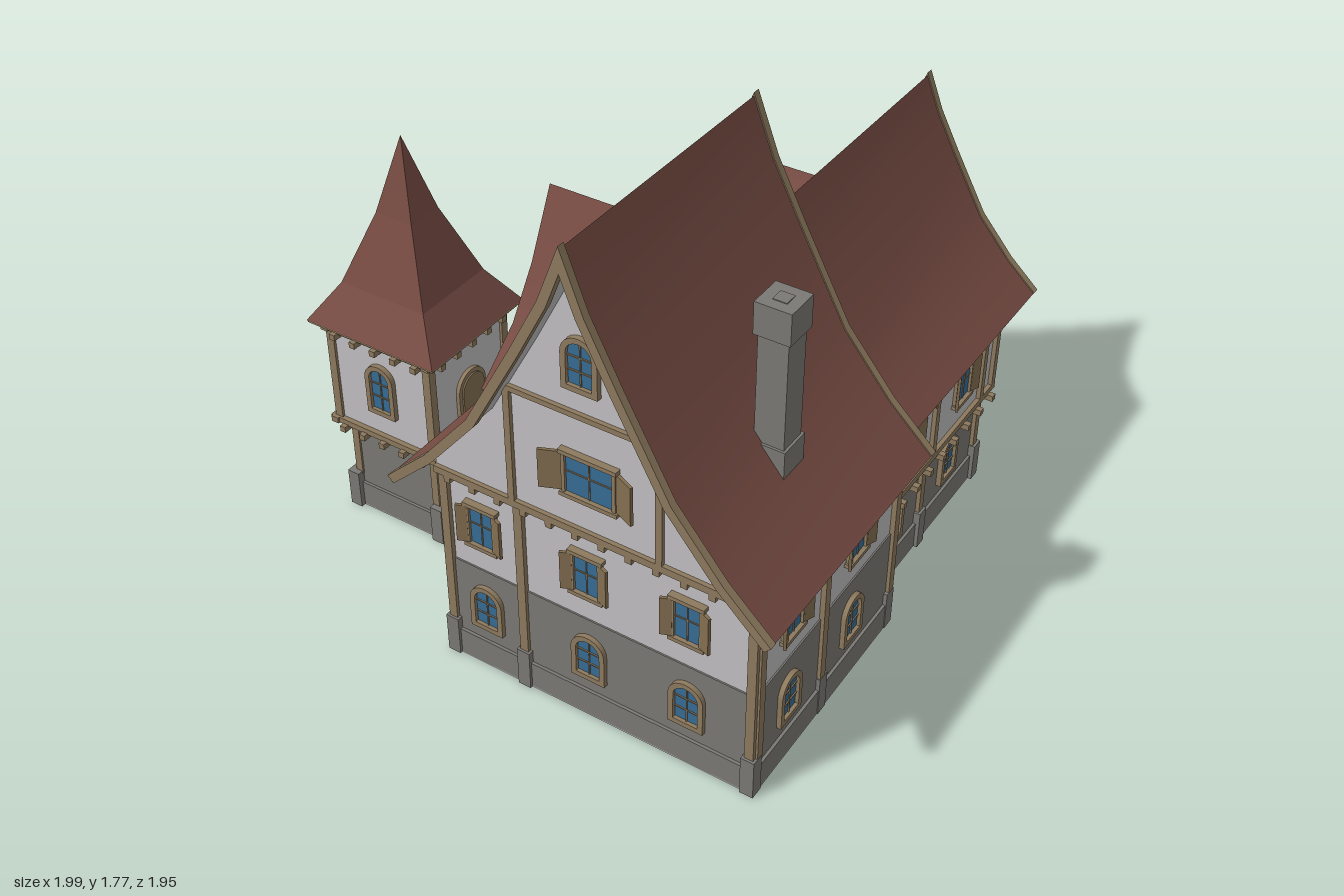
import * as THREE from 'three';
import { toCreasedNormals } from 'three/addons/utils/BufferGeometryUtils.js';

const mat = (name, color) => {
  const m = new THREE.MeshStandardMaterial({ color });
  m.name = name;
  return m;
};
const plaster = mat('plaster', 0xc1bfc1), stone = mat('stone', 0x7b7974), roofTile = mat('roofTile', 0x774c43);
const timber = mat('timber', 0x8d7a5e), wood = mat('shutterWood', 0x826e50), glass = mat('glass', 0x376c95);

function add(parent, name, geo, material, x = 0, y = 0, z = 0) {
  const m = new THREE.Mesh(geo, material);
  m.name = name;
  m.position.set(x, y, z);
  parent.add(m);
  return m;
}
function group(parent, name) {
  const g = new THREE.Group();
  g.name = name;
  parent.add(g);
  return g;
}
// Box given by its limits on each axis
function span(parent, name, material, x0, x1, y0, y1, z0, z1) {
  return add(parent, name, new THREE.BoxGeometry(x1 - x0, y1 - y0, z1 - z0), material,
    (x0 + x1) / 2, (y0 + y1) / 2, (z0 + z1) / 2);
}
// Facade frame: local x runs along the wall, local z points outward
function facade(parent, name, angle, dist) {
  const g = group(parent, name);
  g.rotation.y = angle;
  g.position.set(Math.sin(angle) * dist, 0, Math.cos(angle) * dist);
  return g;
}
const FRONT = 0, RIGHT = Math.PI / 2, BACK = Math.PI, LEFT = -Math.PI / 2;

// Timber laid on a facade between two points
function beam(w, x1, y1, x2, y2, width = 0.03, out = 0.014) {
  const m = add(w, 'timberBeam', new THREE.BoxGeometry(Math.hypot(x2 - x1, y2 - y1), width, out + 0.01), timber,
    (x1 + x2) / 2, (y1 + y2) / 2, out / 2 - 0.005);
  m.rotation.z = Math.atan2(y2 - y1, x2 - x1);
}
function joists(w, x0, x1, y, n) {
  for (let i = 0; i < n; i++)
    add(w, 'joistEnd', new THREE.BoxGeometry(0.022, 0.022, 0.05), timber, x0 + (x1 - x0) * (i + 0.5) / n, y, 0.01);
}
function archShape(w, h) {
  const s = new THREE.Shape();
  s.moveTo(-w / 2, 0);
  s.lineTo(w / 2, 0);
  s.lineTo(w / 2, h - w / 2);
  s.absarc(0, h - w / 2, w / 2, 0, Math.PI, false);
  s.lineTo(-w / 2, 0);
  return s;
}
const extrude = (shape, depth) =>
  new THREE.ExtrudeGeometry(shape, { depth, bevelEnabled: false, curveSegments: 8 });

function archWindow(w, x, y, width = 0.12, h = 0.175) {
  const g = group(w, 'archedWindow');
  g.position.set(x, y, 0);
  const ring = archShape(width, h);
  const hole = archShape(width - 0.036, h - 0.036).getPoints(8).map(p => p.setY(p.y + 0.018));
  ring.holes.push(new THREE.Path(hole));
  add(g, 'windowFrame', extrude(ring, 0.018), timber);
  add(g, 'windowGlass', extrude(archShape(width - 0.03, h - 0.03), 0.006), glass, 0, 0.015, 0);
  add(g, 'mullion', new THREE.BoxGeometry(0.004, h - 0.03, 0.004), timber, 0, h / 2, 0.008);
  for (const k of [0.36, 0.62])
    add(g, 'glazingBar', new THREE.BoxGeometry(width - 0.03, 0.004, 0.004), timber, 0, h * k, 0.008);
}
function shutterWindow(w, x, y, width = 0.096, h = 0.155, leaf = 0.036) {
  const g = group(w, 'shutterWindow');
  g.position.set(x, y, 0);
  add(g, 'windowGlass', new THREE.BoxGeometry(width, h, 0.008), glass, 0, h / 2, 0.004);
  for (const s of [-1, 1]) {
    add(g, 'jamb', new THREE.BoxGeometry(0.012, h, 0.018), timber, s * width / 2, h / 2, 0.008);
    add(g, 'lintelAndSill', new THREE.BoxGeometry(width + 0.025, 0.014, 0.024), timber, 0, s < 0 ? 0 : h, 0.01);
    const sh = add(g, 'shutter', new THREE.BoxGeometry(leaf, h - 0.015, 0.01), wood,
      s * (width / 2 + leaf / 2), h / 2, 0.02);
    sh.rotation.y = -s * 0.4;
  }
  add(g, 'mullion', new THREE.BoxGeometry(0.004, h, 0.004), timber, 0, h / 2, 0.009);
  add(g, 'glazingBar', new THREE.BoxGeometry(width, 0.004, 0.004), timber, 0, h * 0.55, 0.009);
}
function door(w, x, y, width, h) {
  add(w, 'doorFrame', extrude(archShape(width + 0.03, h + 0.015), 0.014), timber, x, y, 0);
  add(w, 'doorLeaf', extrude(archShape(width, h), 0.02), wood, x, y, 0);
}

// Curved gable roof: profile is a list of [distance from ridge, height];
// band() gives the strip between two offsets square to that line
function band(profile, top, bottom) {
  const line = [...profile].reverse().map(([x, y]) => [-x, y]).concat(profile.slice(1))
    .map(([x, y]) => new THREE.Vector2(x, y));
  const normals = line.slice(1).map((p, i) => {
    const d = p.clone().sub(line[i]).normalize();
    return new THREE.Vector2(-d.y, d.x);
  });
  const offset = t => line.map((p, i) => {
    const a = normals[Math.max(i - 1, 0)], b = normals[Math.min(i, normals.length - 1)];
    return a.clone().add(b).multiplyScalar(t / (1 + a.dot(b))).add(p);
  });
  return new THREE.Shape(offset(top).concat(offset(bottom).reverse()));
}
const curved = (shape, depth) => toCreasedNormals(extrude(shape, depth), 0.5);
function heightAt(profile, d) {
  for (let i = 1; i < profile.length; i++) {
    const [a, ya] = profile[i - 1], [b, yb] = profile[i];
    if (d <= b) return ya + (yb - ya) * (d - a) / (b - a);
  }
  return profile[profile.length - 1][1];
}
function gableShape(profile, half, base, drop) {
  const side = profile.filter(([x]) => x < half).concat([[half, heightAt(profile, half)]])
    .map(([x, y]) => [x, Math.max(y - drop, base + 0.001)]);
  const pts = [[-half, base], [half, base], ...[...side].reverse(), ...side.slice(1).map(([x, y]) => [-x, y])];
  return new THREE.Shape(pts.map(p => new THREE.Vector2(...p)));
}
function gableRoof(parent, cx, profile, z0, z1, barges) {
  const g = group(parent, 'gableRoof');
  g.position.x = cx;
  add(g, 'roofTiles', curved(band(profile, 0, -0.015), z1 - z0), roofTile, 0, 0, z0);
  add(g, 'roofSoffit', curved(band(profile, -0.015, -0.02), z1 - z0), plaster, 0, 0, z0);
  for (const z of barges) add(g, 'bargeBoard', curved(band(profile, 0.004, -0.026), 0.026), timber, 0, 0, z - 0.013);
}
function dormer(parent, zc, xIn, xOut, profile, winY, winH) {
  const g = group(parent, 'dormer');
  g.position.set(xIn, 0, zc);
  g.rotation.y = LEFT;
  const d = xIn - xOut, base = profile[profile.length - 1][1];
  add(g, 'dormerRoof', curved(band(profile, 0, -0.009), d), roofTile);
  add(g, 'dormerSoffit', curved(band(profile, -0.009, -0.014), d - 0.003), plaster);
  add(g, 'dormerGable', extrude(gableShape(profile, profile[3][0] - 0.05, base - 0.04, 0.015), d - 0.06), plaster);
  const w = group(g, 'dormerFace');
  w.position.z = d - 0.06;
  archWindow(w, 0, winY, 0.1, winH);
}
// Stone base with plinth and buttress blocks
function stoneBase(parent, x0, x1, z0, z1, top, blocks) {
  const g = group(parent, 'stoneStorey');
  span(g, 'groundSlab', plaster, x0 - 0.01, x1 + 0.01, 0, 0.004, z0 - 0.01, z1 + 0.01);
  span(g, 'stoneWall', stone, x0, x1, 0.004, top, z0, z1);
  span(g, 'plinth', stone, x0 - 0.01, x1 + 0.01, 0.004, 0.1, z0 - 0.01, z1 + 0.01);
  for (const [x, z] of blocks) add(g, 'plinthBlock', new THREE.BoxGeometry(0.046, 0.145, 0.046), stone, x, 0.0735, z);
}

const mainProfile = [[0, 1.762], [0.07, 1.58], [0.17, 1.385], [0.335, 1.08], [0.5, 0.88], [0.65, 0.737]];
const wingProfile = mainProfile.map(([x, y]) => [x * 0.705, 0.737 + (y - 0.737) * 0.675]);

function mainHouse(root) {
  const g = group(root, 'mainHouse');
  stoneBase(g, -0.195, 0.895, 0, 0.855, 0.39,
    [-0.19, 0.085, 0.885].map(x => [x, 0.852]).concat([[0.885, 0.46], [0.885, 0.02], [-0.19, 0.02]]));
  span(g, 'upperWalls', plaster, -0.19, 0.89, 0.39, 0.76, 0.002, 0.85);
  add(g, 'gableWalls', extrude(gableShape(mainProfile, 0.545, 0.752, 0.03), 0.872), plaster, 0.345, 0, 0.004);
  gableRoof(g, 0.345, mainProfile, 0, 0.965, [0.96, 0.005]);
  dormer(g, 0.48, 0.29, -0.04, [[0, 1.58], [0.1, 1.37], [0.2, 1.22], [0.36, 1.085]], 1.2, 0.17);

  const f = facade(g, 'frontFacade', FRONT, 0.853);
  for (const x of [-0.19, 0.085, 0.885]) beam(f, x, 0.14, x, 0.74);
  for (const x of [-0.055, 0.325, 0.67]) {
    archWindow(f, x, 0.155);
    shutterWindow(f, x, 0.495);
  }
  joists(f, -0.2, 0.9, 0.733, 12);
  const t = facade(g, 'frontGable', FRONT, 0.876);
  beam(t, -0.2, 0.757, 0.9, 0.757, 0.025);
  beam(t, 0.07, 1.175, 0.62, 1.175, 0.018);
  for (const x of [0.085, 0.59]) beam(t, x, 0.76, x, 1.17, 0.022);
  shutterWindow(t, 0.36, 0.885, 0.17, 0.15, 0.075);
  archWindow(t, 0.34, 1.26, 0.12, 0.18);

  const r = facade(g, 'rightFacade', RIGHT, 0.893);
  const l = facade(g, 'leftFacade', LEFT, 0.193);
  for (const [w, s] of [[r, -1], [l, 1]]) {
    for (const z of [0.838, 0.465, 0.015]) beam(w, s * z, 0.14, s * z, 0.75);
    beam(w, s * 0.01, 0.74, s * 0.85, 0.74, 0.02);
    shutterWindow(w, s * 0.665, 0.495);
    archWindow(w, s * 0.665, 0.155);
  }
  shutterWindow(r, -0.28, 0.495);
  archWindow(r, -0.28, 0.155);
  door(l, 0.31, 0.395, 0.11, 0.22);

  // Chimney with a raised flue
  const c = group(g, 'chimney');
  c.position.set(0.738, 0, 0.512);
  add(c, 'chimneyBase', new THREE.BoxGeometry(0.112, 0.25, 0.112), stone, 0, 0.91, 0);
  add(c, 'chimneyShaft', new THREE.BoxGeometry(0.096, 0.4, 0.096), stone, 0, 1.22, 0);
  add(c, 'chimneyCap', new THREE.BoxGeometry(0.116, 0.105, 0.116), stone, 0, 1.449, 0);
  add(c, 'flue', new THREE.BoxGeometry(0.045, 0.004, 0.045), stone, 0, 1.502, 0);
}

function backWing(root) {
  const g = group(root, 'backWing');
  const cx = 0.443;
  stoneBase(g, 0.08, 0.8, -0.822, 0.05, 0.39,
    [[0.08, -0.812], [cx, -0.815], [0.8, -0.812], [0.8, -0.385], [0.08, -0.385]]);
  span(g, 'upperWalls', plaster, 0.055, 0.825, 0.38, 0.76, -0.855, 0.05);
  add(g, 'gableWall', extrude(gableShape(wingProfile, 0.385, 0.74, 0.03), 0.9), plaster, cx, 0, -0.862);
  gableRoof(g, cx, wingProfile, -0.965, 0.02, [-0.962]);
  dormer(g, -0.43, 0.39, 0.13, [[0, 1.27], [0.085, 1.13], [0.17, 1.03], [0.31, 0.925]], 1.0, 0.15);

  const r = facade(g, 'rightFacade', RIGHT, 0.826);
  const l = facade(g, 'leftFacade', LEFT, -0.054);
  const rl = facade(g, 'rightStoneFacade', RIGHT, 0.8);
  const ll = facade(g, 'leftStoneFacade', LEFT, -0.08);
  for (const [w, low, s] of [[r, rl, -1], [l, ll, 1]]) {
    beam(w, 0, 0.387, s * -0.86, 0.387, 0.024);
    beam(w, 0, 0.735, s * -0.86, 0.735, 0.02);
    joists(w, 0, s * -0.86, 0.366, 9);
    for (const z of [-0.385, -0.75, -0.845]) beam(w, s * z, 0.385, s * z, 0.735, 0.026);
    for (const k of [-1, 1]) beam(w, s * -0.385, 0.6, s * (-0.385 + k * 0.11), 0.73, 0.024, 0.012);
    for (const z of [-0.18, -0.585]) shutterWindow(w, s * z, 0.495);
    archWindow(low, s * -0.585, 0.15);
    for (const z of [-0.385, -0.808]) beam(low, s * z, 0.14, s * z, 0.37);
  }
  archWindow(rl, 0.18, 0.15);
  door(ll, -0.18, 0.12, 0.1, 0.2);

  const b = facade(g, 'backFacade', BACK, 0.856);
  const bl = facade(g, 'backStoneFacade', BACK, 0.822);
  beam(b, -0.83, 0.387, -0.05, 0.387, 0.024);
  joists(b, -0.82, -0.06, 0.366, 8);
  joists(b, -0.82, -0.06, 0.72, 8);
  for (const x of [0.07, cx, 0.81]) beam(b, -x, 0.385, -x, 0.735, 0.026);
  for (const k of [-1, 1]) {
    beam(b, -cx, 0.6, -cx + k * 0.11, 0.73, 0.024, 0.012);
    shutterWindow(b, -cx + k * 0.2, 0.495);
    archWindow(bl, -cx + k * 0.2, 0.15);
  }
  for (const x of [0.1, cx, 0.78]) beam(bl, -x, 0.14, -x, 0.37);
  const t = facade(g, 'backGable', BACK, 0.862);
  beam(t, -0.83, 0.745, -0.05, 0.745, 0.025);
  archWindow(t, -cx, 0.88, 0.12, 0.18);

  // Porch with steps
  const p = group(g, 'porch');
  span(p, 'porchFloor', stone, -0.06, 0.08, 0, 0.12, -0.32, -0.05);
  for (let i = 0; i < 5; i++)
    span(p, 'step', stone, -0.2 + i * 0.028, -0.06, i * 0.024, (i + 1) * 0.024, -0.32, -0.05);
  for (const z of [-0.31, -0.06]) {
    span(p, 'porchPost', timber, -0.05, -0.03, 0.12, 0.33, z - 0.01, z + 0.01);
    span(p, 'porchRail', timber, -0.04, 0.08, 0.2, 0.215, z - 0.007, z + 0.007);
    for (const x of [-0.01, 0.02, 0.05]) span(p, 'baluster', timber, x - 0.004, x + 0.004, 0.12, 0.2, z - 0.004, z + 0.004);
  }
  span(p, 'porchBeam', timber, -0.05, -0.03, 0.315, 0.333, -0.32, -0.05);
  const slope = [[-0.06, 0.325], [0.01, 0.357], [0.09, 0.43], [0.09, 0.405], [0.01, 0.337], [-0.06, 0.31]];
  add(p, 'porchRoof', extrude(new THREE.Shape(slope.map(q => new THREE.Vector2(...q))), 0.32), roofTile, 0, 0, -0.34);
}

function tower(root) {
  const g = group(root, 'tower');
  g.position.set(-0.735, 0, 0.31);
  const corners = [[-1, -1], [-1, 1], [1, -1], [1, 1]];
  stoneBase(g, -0.175, 0.175, -0.165, 0.165, 0.385, corners.map(([a, b]) => [a * 0.18, b * 0.17]));
  span(g, 'passageWall', plaster, 0.18, 0.188, 0.004, 0.37, -0.147, 0.147);
  span(g, 'upperWalls', plaster, -0.205, 0.205, 0.37, 0.775, -0.195, 0.195);
  for (const [a, b] of corners) {
    add(g, 'cornerPost', new THREE.BoxGeometry(0.03, 0.4, 0.03), timber, a * 0.2, 0.57, b * 0.19);
    add(g, 'lowerCornerPost', new THREE.BoxGeometry(0.028, 0.25, 0.028), timber, a * 0.168, 0.26, b * 0.158);
  }
  for (const [name, angle, d, half] of [['front', FRONT, 0.195, 0.21], ['back', BACK, 0.195, 0.21],
    ['left', RIGHT, 0.205, 0.2], ['right', LEFT, 0.205, 0.2]]) {
    const w = facade(g, name + 'TowerFacade', angle, d);
    for (const y of [0.382, 0.762]) {
      beam(w, -half - 0.02, y, half + 0.02, y, 0.022, 0.018);
      joists(w, -half, half, y - 0.018, 5);
    }
    if (angle === RIGHT) door(w, 0, 0.395, 0.11, 0.22);
    else archWindow(w, 0, 0.48, 0.115, 0.2);
  }
  // Flared four-sided spire
  const pts = [[0.26, 0.785], [0.168, 0.92], [0.072, 1.17], [0.0001, 1.44]]
    .map(([x, y]) => new THREE.Vector2(x * Math.SQRT2, y));
  const spire = new THREE.LatheGeometry(pts, 4, Math.PI / 4).toNonIndexed();
  spire.scale(1, 1, 0.925);
  spire.computeVertexNormals();
  add(g, 'spire', spire, roofTile);
  span(g, 'spireSoffit', timber, -0.258, 0.258, 0.777, 0.787, -0.238, 0.238);
}

function bridge(root) {
  const g = group(root, 'bridge');
  const cx = -0.363, cy = 0.235, ri = 0.098, ro = 0.14;
  const s = new THREE.Shape();
  s.moveTo(ro, 0);
  s.lineTo(ro, cy);
  s.absarc(0, cy, ro, 0, Math.PI, false);
  s.lineTo(-ro, 0);
  s.lineTo(-ri, 0);
  s.absarc(0, cy, ri, Math.PI, 0, true);
  s.lineTo(ri, 0);
  for (const z of [0.14, 0.48]) {
    add(g, 'archRing', extrude(s, 0.036), stone, cx, 0, z - 0.018);
    for (let i = 0; i < 7; i += 2) {
      const a = Math.PI * (i + 0.5) / 7, r = 0.12;
      const v = add(g, 'archStone', new THREE.BoxGeometry(0.046, 0.05, 0.044), stone,
        cx + r * Math.cos(a), cy + r * Math.sin(a), z);
      v.rotation.z = a;
    }
    for (const k of [-1, 1]) for (const y of [0.03, 0.145])
      add(g, 'pillarStone', new THREE.BoxGeometry(0.05, 0.058, 0.044), stone, cx + k * 0.12, y, z);
    const edge = z < 0.3 ? 0.125 : 0.487;
    span(g, 'deckBeam', timber, -0.53, -0.19, 0.38, 0.4, edge - 0.014, edge + 0.014);
    span(g, 'handRail', timber, -0.53, -0.19, 0.464, 0.476, edge - 0.01, edge + 0.01);
    for (let i = 0; i < 8; i++) {
      const x = -0.505 + i * 0.041;
      span(g, 'baluster', timber, x - 0.005, x + 0.005, 0.4, 0.464, edge - 0.005, edge + 0.005);
    }
  }
  span(g, 'bridgeDeck', plaster, -0.53, -0.19, 0.382, 0.394, 0.125, 0.487);
  span(g, 'deckUnderside', wood, -0.53, -0.19, 0.374, 0.382, 0.125, 0.487);
}

export function createModel() {
  const root = new THREE.Group();
  root.name = 'timberFramedHouse';
  mainHouse(root);
  backWing(root);
  tower(root);
  bridge(root);
  return root;
}
